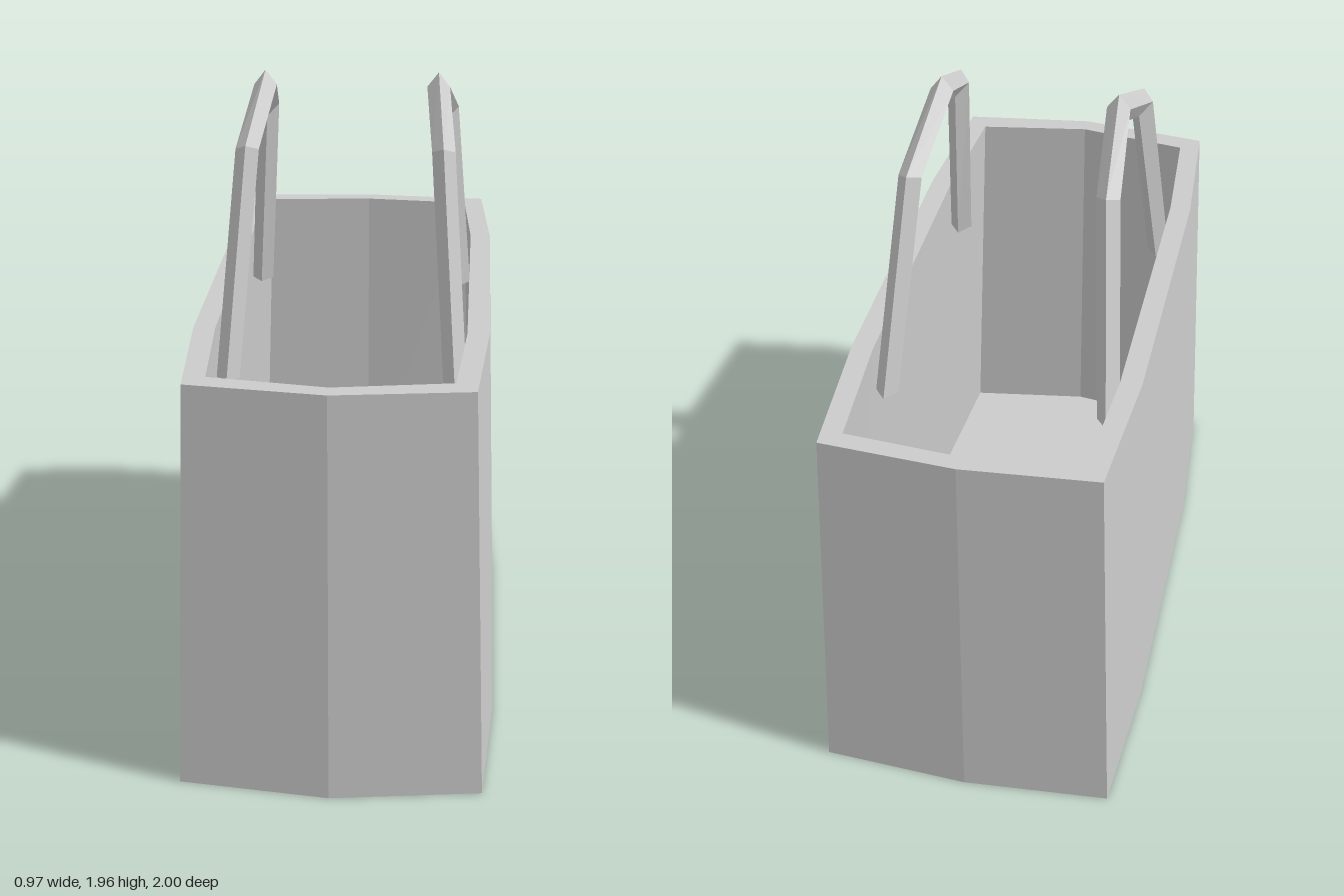
import * as THREE from 'three';

const material = new THREE.MeshStandardMaterial({ color: 0xcccccc, flatShading: true });

// Skin a stack of equal rings (each an array of [x, y, z]) and cap both ends.
function loft(name, rings) {
  const n = rings[0].length;
  const index = [];
  for (let r = 0; r < rings.length - 1; r++) {
    for (let i = 0; i < n; i++) {
      const j = (i + 1) % n;
      const a = r * n + i, b = r * n + j, c = a + n, d = b + n;
      index.push(a, b, d, a, d, c);
    }
  }
  const last = (rings.length - 1) * n;
  for (let i = 1; i < n - 1; i++) {
    index.push(0, i + 1, i, last, last + i, last + i + 1);
  }
  const indexed = new THREE.BufferGeometry();
  indexed.setAttribute('position', new THREE.Float32BufferAttribute(rings.flat(2), 3));
  indexed.setIndex(index);
  const geometry = indexed.toNonIndexed();
  geometry.computeVertexNormals();
  const mesh = new THREE.Mesh(geometry, material);
  mesh.name = name;
  return mesh;
}

// Eight-sided outline with gently bowed ends and sides.
function outline(y, side, corner, frontTip, frontCorner, backCorner, backTip) {
  const half = [[corner, frontCorner], [side, 0.47], [side, -0.5], [corner, backCorner]];
  return [
    [0, y, frontTip],
    ...half.map(([x, z]) => [x, y, z]),
    [0, y, backTip],
    ...half.reverse().map(([x, z]) => [-x, y, z]),
  ];
}

// Handle: diamond section swept over an angular arch that leans inwards.
function handle(name, sign) {
  const midZ = -0.012;
  // x, then [z, y] of the outer, middle and inner edges
  const front = [
    [0.342, [0.518, 1.12], [0.474, 1.12], [0.425, 1.12]],
    [0.293, [0.334, 1.8], [0.292, 1.78], [0.248, 1.748]],
  ];
  const peak = [0.268, [0, 1.955], [0, 1.91], [0, 1.855]];
  const back = front.map(([x, ...edges]) => [x, ...edges.map(([z, y]) => [-z, y])]).reverse();
  const rings = [...front, peak, ...back].map(([x, outer, middle, inner]) => [
    [sign * x, outer[1], outer[0] + midZ],
    [sign * x + 0.035, middle[1], middle[0] + midZ],
    [sign * x, inner[1], inner[0] + midZ],
    [sign * x - 0.035, middle[1], middle[0] + midZ],
  ]);
  return loft(name, rings);
}

export function createModel() {
  const bag = new THREE.Group();
  bag.name = 'toteBag';

  // Hollow body: outer wall, rim, inner wall, then the inside floor
  bag.add(loft('body', [
    outline(0, 0.484, 0.453, 1.0, 0.943, -0.97, -1.0),
    outline(1.28, 0.442, 0.41, 0.98, 0.927, -0.955, -0.985),
    outline(1.28, 0.376, 0.35, 0.922, 0.866, -0.9, -0.93),
    outline(0.06, 0.418, 0.392, 0.94, 0.882, -0.914, -0.944),
  ]));

  bag.add(handle('leftHandle', 1), handle('rightHandle', -1));
  return bag;
}
